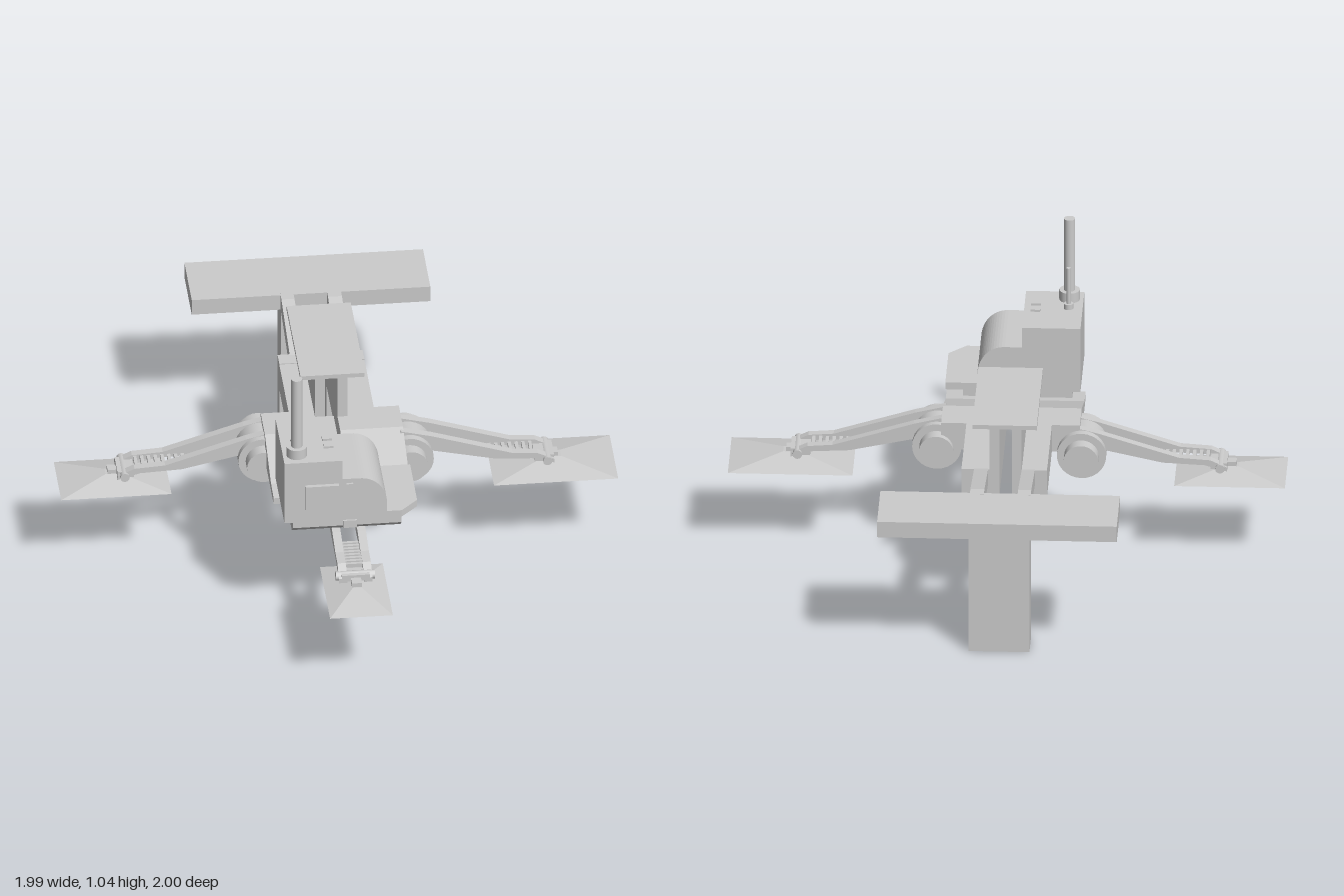
import * as THREE from 'three';

const mat = new THREE.MeshStandardMaterial({ color: 0xcccccc, flatShading: true });
const smooth = new THREE.MeshStandardMaterial({ color: 0xcccccc });

function add(parent, name, geo, x = 0, y = 0, z = 0, m = mat) {
  const mesh = new THREE.Mesh(geo, m);
  mesh.name = name;
  mesh.position.set(x, y, z);
  parent.add(mesh);
  return mesh;
}

// Box given by its limits on each axis
function box(parent, name, x0, x1, y0, y1, z0, z1) {
  return add(parent, name, new THREE.BoxGeometry(x1 - x0, y1 - y0, z1 - z0),
    (x0 + x1) / 2, (y0 + y1) / 2, (z0 + z1) / 2);
}

const shapeOf = pts => new THREE.Shape(pts.map(p => new THREE.Vector2(p[0], p[1])));
const extrude = (shape, depth) =>
  new THREE.ExtrudeGeometry(shape, { depth, bevelEnabled: false, curveSegments: 16 });

// Profile in (z, y), extruded from x0 to x1
function sidePlate(parent, name, pts, x0, x1) {
  const geo = extrude(shapeOf(pts), x1 - x0);
  geo.rotateY(-Math.PI / 2);
  return add(parent, name, geo, x1, 0, 0);
}

// Outline in (x, z), extruded from y0 to y1
function floorPlate(parent, name, pts, y0, y1) {
  const geo = extrude(shapeOf(pts), y1 - y0);
  geo.rotateX(Math.PI / 2);
  return add(parent, name, geo, 0, y1, 0);
}

function cyl(parent, name, r, y0, y1, x, z) {
  return add(parent, name, new THREE.CylinderGeometry(r, r, y1 - y0, 20), x, (y0 + y1) / 2, z, smooth);
}

// Four-sided frustum: top and bottom as fractions of w x d
function frustum(parent, name, top, bottom, w, d, y0, y1, x) {
  const geo = new THREE.CylinderGeometry(top * Math.SQRT1_2, bottom * Math.SQRT1_2, y1 - y0, 4);
  geo.rotateY(Math.PI / 4);
  geo.scale(w, 1, d);
  return add(parent, name, geo, x, (y0 + y1) / 2, 0);
}

// Leg pointing along +x, with two rails, a ladder, an ankle and a foot
function leg(name, profile, end, rungs, foot) {
  const g = new THREE.Group();
  g.name = name;
  for (const s of [-1, 1])
    add(g, 'legRail', extrude(shapeOf(profile), 0.03), 0, 0, s * 0.045 - 0.015);
  const [r0, r1] = rungs;
  const n = 8;
  for (let i = 0; i < n; i++) {
    const x = r0 + (r1 - r0) * i / (n - 1);
    box(g, 'legRung', x - 0.006, x + 0.006, 0.372, 0.386, -0.032, 0.032);
  }
  box(g, 'legEnd', r1 + 0.01, end, 0.348, 0.372, -0.05, 0.05);
  const joint = add(g, 'ankleJoint', new THREE.CylinderGeometry(0.017, 0.017, 0.14, 12),
    end - 0.025, 0.358, 0, smooth);
  joint.rotation.x = Math.PI / 2;
  box(g, 'ankle', end - 0.03, foot.x + 0.02, 0.33, 0.362, -0.018, 0.018);
  frustum(g, 'footTop', 0.14, 1, foot.w, foot.d, 0.316, 0.346, foot.x);
  frustum(g, 'footSole', 1, 0.8, foot.w, foot.d, 0.304, 0.316, foot.x);
  return g;
}

export function createModel() {
  const model = new THREE.Group();
  model.name = 'skidCraft';

  // Hull: two halves with a slot between them
  const slot = [-0.04, 0.005];
  const deck = [[0.37, 0.41], [0.37, 0.435], [0.28, 0.44], [0.07, 0.515], [-0.07, 0.515], [-0.07, 0.41]];
  const halves = [
    { side: -1, wide: -0.265, narrow: -0.165, tail: -0.13, inner: slot[0] },
    { side: 1, wide: 0.23, narrow: 0.14, tail: 0.1, inner: slot[1] },
  ];
  for (const h of halves) {
    sidePlate(model, 'hullDeck', deck, Math.min(h.wide, h.inner), Math.max(h.wide, h.inner));
    floorPlate(model, 'hullRear', [[h.inner, -0.07], [h.narrow, -0.07], [h.narrow, -0.4],
      [h.tail, -0.445], [h.inner, -0.445]], 0.41, 0.515);
    // Wall carrying the canopy
    const w = h.inner + h.side * 0.035;
    box(model, 'canopyWall', Math.min(w, h.inner), Math.max(w, h.inner), 0.5, 0.69, -0.445, -0.02);
    // Hanging rear plate
    box(model, 'rearPlate', Math.min(h.narrow, h.inner), Math.max(h.narrow, h.inner),
      0.24, 0.518, -0.445, -0.385);
  }
  box(model, 'canopy', -0.13, 0.1, 0.69, 0.706, -0.47, 0);

  // Tail: two sloping beams, a cross plate and a tall support
  const beam = [[-0.42, 0.455], [-0.42, 0.515], [-0.45, 0.52], [-0.72, 0.575], [-0.76, 0.575], [-0.76, 0.515], [-0.72, 0.515], [-0.45, 0.46]];
  sidePlate(model, 'tailBeam', beam, -0.122, -0.075);
  sidePlate(model, 'tailBeam', beam, 0.045, 0.095);
  box(model, 'tailPlate', -0.44, 0.415, 0.513, 0.574, -1, -0.75);
  box(model, 'tailSupport', -0.122, 0.095, 0, 0.52, -0.86, -0.742);

  // Cabin: stepped roof with a curved shoulder
  const cabin = new THREE.Shape();
  cabin.moveTo(-0.25, 0.47);
  cabin.lineTo(0.118, 0.47);
  cabin.lineTo(0.118, 0.53);
  cabin.bezierCurveTo(0.118, 0.59, 0.08, 0.642, 0.02, 0.642);
  cabin.lineTo(-0.042, 0.642);
  cabin.lineTo(-0.042, 0.72);
  cabin.lineTo(-0.25, 0.72);
  add(model, 'cabin', extrude(cabin, 0.3), 0, 0, 0.293);
  floorPlate(model, 'cabinSideStep', [[0.1, 0.293], [0.232, 0.293], [0.232, 0.53],
    [0.17, 0.593], [0.1, 0.593]], 0.47, 0.497);
  sidePlate(model, 'cabinUnderside', [[0.295, 0.445], [0.295, 0.47], [0.59, 0.47], [0.59, 0.445],
    [0.555, 0.415], [0.37, 0.415]], -0.22, 0.17);
  box(model, 'cabinKeel', -0.04, 0.01, 0.44, 0.47, 0.56, 0.6);
  box(model, 'cabinWindow', -0.175, -0.055, 0.528, 0.625, 0.59, 0.608);
  box(model, 'cabinVent', -0.028, -0.004, 0.528, 0.625, 0.59, 0.602);

  // Roof fittings
  cyl(model, 'exhaustBase', 0.037, 0.72, 0.758, -0.2, 0.535);
  cyl(model, 'exhaust', 0.02, 0.758, 1.04, -0.2, 0.535);
  cyl(model, 'antennaBase', 0.017, 0.72, 0.74, -0.2, 0.46);
  cyl(model, 'antenna', 0.008, 0.74, 0.88, -0.2, 0.46);
  for (const z of [0.44, 0.49]) box(model, 'roofHatch', -0.1, -0.065, 0.72, 0.728, z - 0.015, z + 0.015);

  // Drums at the roots of the side legs
  for (const [x, z] of [[-0.272, -0.012], [0.247, 0.04]]) {
    for (const [r, len] of [[0.062, 0.265], [0.088, 0.17]]) {
      const d = add(model, 'drum', new THREE.CylinderGeometry(r, r, len, 28), x, 0.408, z, smooth);
      d.rotation.x = Math.PI / 2;
    }
  }

  // Legs
  const sideLeg = reach => [[0.2, 0.42], [0.33, 0.425], [0.56, 0.375], [reach - 0.08, 0.368], [reach, 0.345],
    [reach, 0.36], [reach - 0.06, 0.388], [0.62, 0.395], [0.33, 0.485], [0.22, 0.512]];
  const left = leg('leftLeg', sideLeg(0.77), 0.77, [0.52, 0.69], { x: 0.767, w: 0.445, d: 0.29 });
  left.position.set(0, 0, 0.038);
  const right = leg('rightLeg', sideLeg(0.79), 0.79, [0.55, 0.72], { x: 0.802, w: 0.395, d: 0.255 });
  right.rotation.y = Math.PI;
  right.position.set(0, 0, -0.01);
  const front = leg('frontLeg', [[0.36, 0.38], [0.7, 0.37], [0.81, 0.342], [0.81, 0.36], [0.75, 0.388],
    [0.68, 0.39], [0.58, 0.412], [0.4, 0.44], [0.3, 0.44], [0.3, 0.41], [0.36, 0.41]],
    0.81, [0.61, 0.75], { x: 0.8275, w: 0.345, d: 0.225 });
  front.rotation.y = -Math.PI / 2;
  front.position.set(-0.017, 0, 0);
  model.add(left, right, front);

  return model;
}
